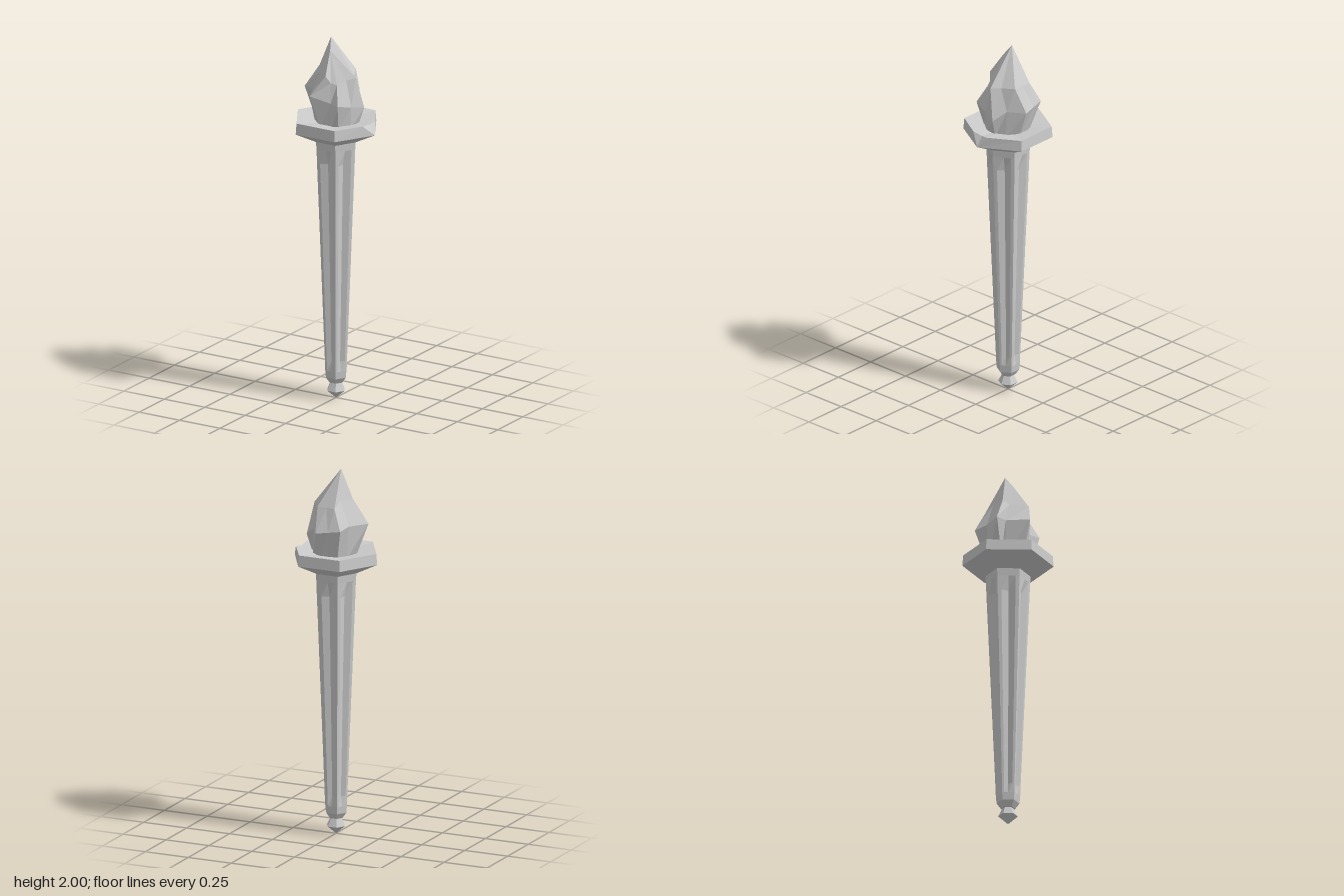
import * as THREE from 'three';

const material = new THREE.MeshStandardMaterial({ color: 0xcccccc, flatShading: true, side: THREE.DoubleSide });

// Skin over rings of [x, y, z] points, listed from bottom to top, counterclockwise from above
function loft(name, rings) {
  const pos = [];
  const tri = (a, b, c) => {
    const [p, q, r] = [a, b, c].map((v) => new THREE.Vector3(...v));
    if (q.sub(p).cross(r.sub(p)).length() > 1e-9) pos.push(...a, ...b, ...c);
  };
  for (let k = 0; k < rings.length - 1; k++) {
    const lo = rings[k], up = rings[k + 1], n = lo.length;
    for (let i = 0; i < n; i++) {
      const j = (i + 1) % n;
      tri(lo[i], lo[j], up[j]);
      tri(lo[i], up[j], up[i]);
    }
  }
  const geo = new THREE.BufferGeometry();
  geo.setAttribute('position', new THREE.Float32BufferAttribute(pos, 3));
  geo.computeVertexNormals();
  const mesh = new THREE.Mesh(geo, material);
  mesh.name = name;
  return mesh;
}

// Hexagon corner with one corner on +x
const corner = (i, r, y) => {
  const a = (i * Math.PI) / 3;
  return [r * Math.cos(a), y, -r * Math.sin(a)];
};
const hexRing = (r, y) => Array.from({ length: 6 }, (_, i) => corner(i, r, y));

// Hexagon ring with a V-shaped flute in every side
function flutedRing(r, y, depth) {
  const ring = [];
  for (let i = 0; i < 6; i++) {
    const a = corner(i, r, y), b = corner(i + 1, r, y);
    const at = (t, s) => [(a[0] + (b[0] - a[0]) * t) * s, y, (a[2] + (b[2] - a[2]) * t) * s];
    ring.push(a, at(0.17, 1), at(0.5, 1 - depth), at(0.83, 1));
  }
  return ring;
}

export function createModel() {
  const group = new THREE.Group();
  group.name = 'torch';

  // Pointed knob and neck under the handle
  group.add(loft('pommel', [[0, 0.005], [0.052, 0.05], [0.03, 0.095], [0.04, 0.1]].map(([r, y]) => hexRing(r, y))));

  // Tapered fluted handle
  group.add(loft('handle', [
    [0, 0.092, 0], [0.038, 0.094, 0], [0.06, 0.125, 0], [0.064, 0.165, 0],
    [0.066, 0.22, 0.2], [0.113, 1.32, 0.2], [0.116, 1.4, 0], [0.12, 1.45, 0],
  ].map((p) => flutedRing(...p))));

  // Flared rim with a dished top and a chip out of one corner
  const rimRing = (r, y, chip) => {
    const c = corner(0, r, y);
    return [...(chip || [c, c, c]), ...hexRing(r, y).slice(1)];
  };
  const chip = [[0.203, 1.56, 0.06], [0.202, 1.553, 0], [0.212, 1.56, -0.045]];
  group.add(loft('rim', [
    rimRing(0, 1.44), rimRing(0.12, 1.44), rimRing(0.24, 1.5), rimRing(0.235, 1.56, chip), rimRing(0, 1.53),
  ]));

  // Flame: six twisted tongues with valleys between them, and two peaks
  const belly = [
    [-0.175, 1.71, 0.03], [-0.11, 1.71, 0.047], [-0.06, 1.71, 0.165], [0.035, 1.67, 0.11],
    [0.095, 1.67, 0.137], [0.125, 1.65, 0.05], [0.155, 1.63, -0.032], [0.095, 1.68, -0.08],
    [0.04, 1.68, -0.168], [-0.028, 1.69, -0.157], [-0.095, 1.7, -0.147], [-0.107, 1.71, -0.066],
  ];
  const shoulder = [
    [-0.09, 1.84, 0.017], [-0.065, 1.82, 0.045], [0.01, 1.82, 0.12], [0.03, 1.78, 0.1],
    [0.06, 1.77, 0.087], [0.09, 1.79, 0.045], [0.128, 1.8, 0.007], [0.09, 1.8, -0.035],
    [0.058, 1.81, -0.103], [0.005, 1.81, -0.108], [-0.045, 1.81, -0.113], [-0.055, 1.84, -0.06],
  ];
  const base = belly.map(([x, , z]) => {
    const s = 0.118 / Math.hypot(x, z);
    return [x * s + 0.008, 1.53, z * s];
  });
  const peaks = belly.map((_, i) => (i >= 1 && i <= 6 ? [-0.01, 1.94, 0.042] : [-0.03, 2, 0]));
  const top = peaks.map(() => [-0.03, 2, 0]);
  group.add(loft('flame', [base, belly, shoulder, peaks, top]));

  return group;
}
